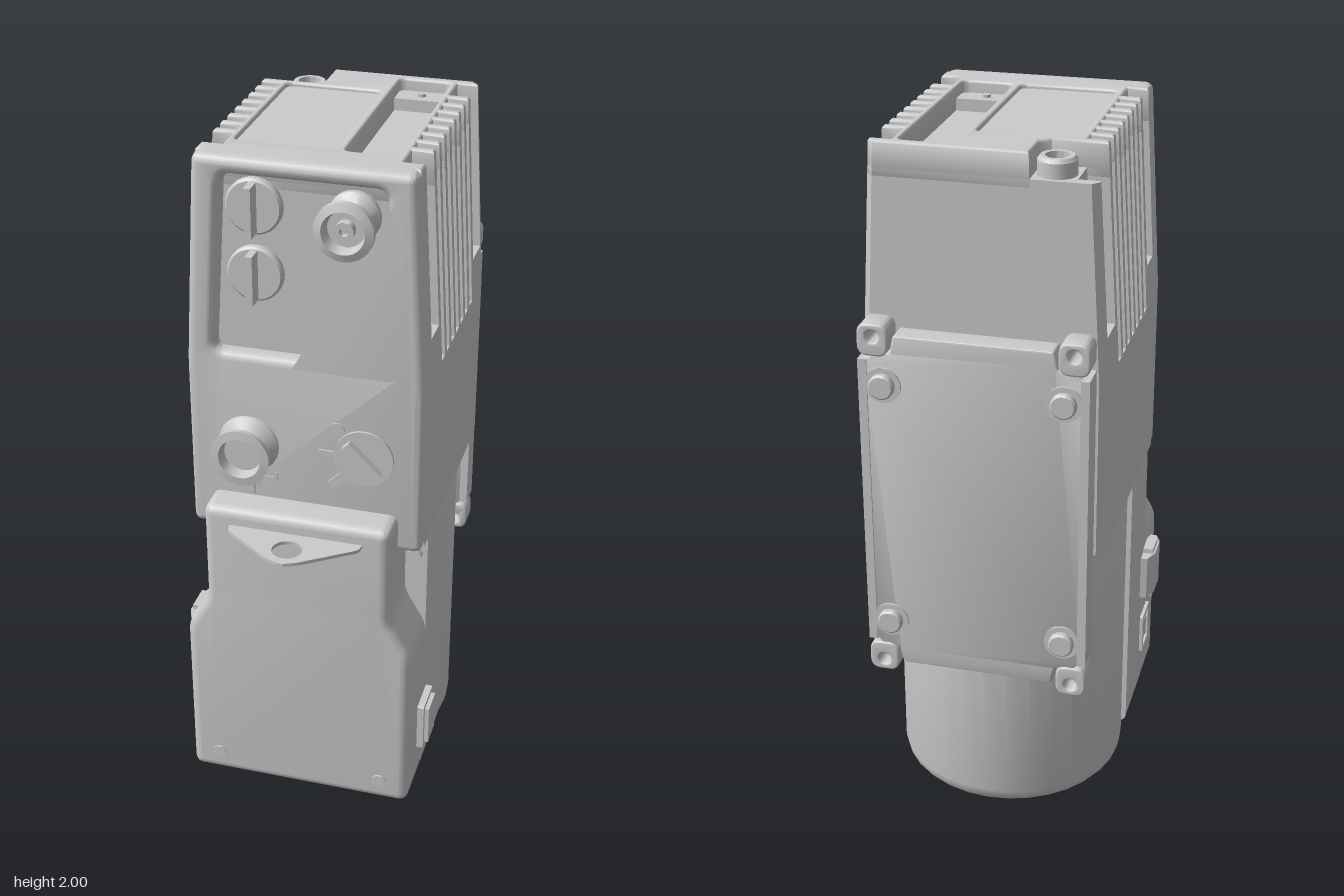
import * as THREE from 'three';
import { toCreasedNormals } from 'three/addons/utils/BufferGeometryUtils.js';

const mat = new THREE.MeshStandardMaterial({ color: 0xcccccc });
const HW = 0.335;

export function createModel() {
  const model = new THREE.Group();

  const add = (name, geo, x = 0, y = 0, z = 0) => {
    const m = new THREE.Mesh(geo, mat);
    m.name = name;
    m.position.set(x, y, z);
    model.add(m);
    return m;
  };
  const box = (name, x0, x1, y0, y1, z0, z1) =>
    add(name, new THREE.BoxGeometry(x1 - x0, y1 - y0, z1 - z0), (x0 + x1) / 2, (y0 + y1) / 2, (z0 + z1) / 2);
  // Lathe of [radius, height] points; axis is turned to +z, -z or left on y
  const lathe = (name, pts, x, y, z, axis = 'z') => {
    const g = new THREE.LatheGeometry(pts.map(p => new THREE.Vector2(...p)), 32);
    if (axis !== 'y') g.rotateX(axis === 'z' ? Math.PI / 2 : -Math.PI / 2);
    return add(name, toCreasedNormals(g, 0.6), x, y, z);
  };
  // Polygon with rounded corners
  const poly = (pts, r = 0, path = new THREE.Shape()) => {
    const v = pts.map(p => new THREE.Vector2(...p)), n = v.length;
    v.forEach((p, i) => {
      const toward = q => p.clone().add(q.clone().sub(p).setLength(r));
      const a = r ? toward(v[(i + n - 1) % n]) : p, b = r ? toward(v[(i + 1) % n]) : p;
      if (i) path.lineTo(a.x, a.y); else path.moveTo(a.x, a.y);
      if (r) path.quadraticCurveTo(p.x, p.y, b.x, b.y);
    });
    path.closePath();
    return path;
  };
  const rect = (x0, x1, y0, y1) => [[x0, y0], [x1, y0], [x1, y1], [x0, y1]];
  const extrude = (shape, d0, d1, bevel = 0) => {
    const g = new THREE.ExtrudeGeometry(shape, {
      depth: d1 - d0 - 2 * bevel, bevelEnabled: bevel > 0, bevelSize: bevel,
      bevelThickness: bevel, bevelOffset: -bevel, bevelSegments: 4, curveSegments: 8,
    });
    return g.translate(0, 0, d0 + bevel);
  };
  const smooth = g => toCreasedNormals(g, 0.6);

  // ---- Upper housing: horizontal slabs, finned at the sides, tapered above 1.4
  const slots = Array.from({ length: 7 }, (_, k) => [-0.283 + 0.06 * k, -0.247 + 0.06 * k]);
  const pockets = [[-0.41, -0.308], ...slots, [0.138, 0.225]];
  const outline = (cuts, notch) => {
    const side = [];
    cuts.forEach(([a, b]) => side.push([HW, a], [0.27, a], [0.27, b], [HW, b]));
    const left = side.map(([x, z]) => [-x, z]).reverse();
    if (notch) left.splice(-4, 4, [-HW, -0.308], [-0.17, -0.308], [-0.14, -0.33]);
    const back = notch ? [[-0.14, -0.44]] : [[-HW, -0.42], [-HW + 0.02, -0.44]];
    return poly([[HW - 0.02, -0.44], [HW, -0.42], ...side, [HW, 0.275], [-HW, 0.275], ...left, ...back]);
  };
  const slab = (name, shape, y0, y1, bevel) => {
    const g = extrude(shape, 0, y1 - y0, bevel).rotateX(Math.PI / 2).translate(0, y1, 0);
    const p = g.attributes.position;
    for (let i = 0; i < p.count; i++) {
      const t = Math.max(0, (p.getY(i) - 1.39) / 0.61);
      p.setX(i, p.getX(i) * (1 - 0.105 * t));
    }
    g.computeVertexNormals();
    add(name, smooth(g));
  };
  slab('housingBase', outline([]), 0.88, 1.39);
  slab('housingFins', outline(slots), 1.39, 1.51);
  slab('housingPockets', outline(pockets), 1.51, 1.93);
  const cap = outline(pockets, true);
  cap.holes.push(poly(rect(-0.25, 0.06, -0.29, 0.19), 0.025, new THREE.Path()));
  cap.holes.push(poly(rect(0.085, 0.25, -0.41, 0.19), 0.02, new THREE.Path()));
  slab('housingTop', cap, 1.9, 2, 0.008);
  box('topWindow', -0.23, 0.06, 1.92, 1.988, -0.295, 0.195);
  for (const [a, b] of [[-0.412, -0.335], [0.12, 0.192]]) {
    box('channelLedge', 0.075, 0.228, 1.92, 1.965, a, b);
    lathe('channelScrew', [[0.012, 0], [0.012, 0.008], [0, 0.008]], 0.147, 1.965, (a + b) / 2, 'y');
  }
  for (const s of [-1, 1]) for (const z of [-0.358, 0.172])
    lathe('pocketScrew', [[0.015, 0], [0.015, 0.01], [0, 0.01]], s * 0.3, 1.51, z, 'y');
  lathe('topConnector', [[0.052, 0], [0.052, 0.04], [0.045, 0.05], [0.032, 0.05], [0.032, 0.02], [0, 0.02]],
    -0.185, 1.93, -0.378, 'y');

  // ---- Front panel with a sunken control window
  const front = poly([[-HW, 0.88], [HW, 0.88], [HW, 1.4], [0.3, 2], [-0.3, 2], [-HW, 1.4]], 0.025);
  front.holes.push(poly([[-0.255, 1.44], [0.255, 1.44], [0.222, 1.95], [-0.222, 1.95]], 0.03, new THREE.Path()));
  add('frontPanel', smooth(extrude(front, 0.228, 0.32, 0.025)));

  // ---- Controls on the front
  for (const y of [1.86, 1.67]) {
    lathe('turnKnob', [[0.078, 0], [0.078, 0.02], [0.072, 0.026], [0, 0.026]], -0.14, y, 0.27);
    box('turnKnobGrip', -0.15, -0.13, y - 0.07, y + 0.07, 0.28, 0.345);
  }
  lathe('upperConnector', [[0.07, 0], [0.07, 0.02], [0.05, 0.04], [0.05, 0.095], [0.08, 0.105], [0.08, 0.122],
    [0.058, 0.13], [0.05, 0.095], [0.026, 0.095], [0.026, 0.12], [0.012, 0.12], [0.012, 0.1], [0, 0.1]], 0.13, 1.86, 0.27);
  lathe('lowerConnector', [[0.088, 0], [0.085, 0.012], [0.055, 0.035], [0.055, 0.06], [0.083, 0.075], [0.085, 0.092],
    [0.06, 0.095], [0.054, 0.06], [0, 0.06]], -0.16, 1.165, 0.315);
  lathe('selectorDial', [[0.085, 0], [0.085, 0.01], [0, 0.01]], 0.17, 1.17, 0.318);
  const grip = new THREE.BoxGeometry(0.03, 0.13, 0.03).rotateZ(Math.PI / 4);
  add('selectorGrip', grip, 0.17, 1.17, 0.335);
  box('dialMark', 0.04, 0.085, 1.165, 1.18, 0.31, 0.325);
  lathe('dialMark', [[0.02, 0], [0.02, 0.007], [0, 0.007]], 0.095, 1.25, 0.318);
  add('dialMark', new THREE.BoxGeometry(0.05, 0.025, 0.015).rotateZ(Math.PI / 4), 0.095, 1.09, 0.32);
  const arrow = extrude(poly([[-0.015, -0.035], [0.015, -0.035], [0.015, 0], [0.033, 0], [0, 0.035], [-0.033, 0], [-0.015, 0]]), 0, 0.012);
  add('arrowMark', arrow, -0.16, 1.04, 0.316);
  add('arrowMark', arrow, 0.13, 1.745, 0.271).rotation.z = Math.PI;
  for (const [x, y, z] of [[-0.16, 1.065, 0.315], [0.13, 1.765, 0.27]]) for (const s of [-1, 1]) {
    add('bracketMark', new THREE.BoxGeometry(0.04, 0.01, 0.018), x + s * 0.06, y, z);
    add('bracketMark', new THREE.BoxGeometry(0.01, 0.025, 0.018), x + s * 0.078, y + 0.008, z);
  }

  // ---- Lower front compartment, narrowed at the shoulders
  const cover = poly([[-HW, 0.05], [HW, 0.05], [HW, 0.58], [0.27, 0.69], [0.27, 1], [-0.27, 1], [-0.27, 0.69], [-HW, 0.58]], 0.03);
  add('frontCompartment', smooth(extrude(cover, 0.14, 0.415, 0.028)));
  add('rearCompartment', smooth(extrude(poly(rect(-HW, HW, 0.05, 0.885), 0.025), -0.02, 0.22)));
  for (const s of [-1, 1]) {
    lathe('coverScrew', [[0.022, 0], [0.022, 0.006], [0, 0.006]], s * 0.25, 0.12, 0.414);
    lathe('shoulderPin', [[0.02, 0], [0.02, 0.03], [0, 0.03]], s * 0.3, 0.82, 0.21);
  }

  // ---- Pull tab
  const tab = poly([[-0.195, 0.38], [0.195, 0.38], [0.19, 0.44], [0.045, 0.545], [0, 0.565], [-0.045, 0.545], [-0.19, 0.44]], 0.015);
  tab.holes.push(new THREE.Path().absarc(0, 0.492, 0.043, 0, Math.PI * 2, true));
  add('pullTab', smooth(extrude(tab, 0, 0.01).rotateX(Math.PI / 2)), 0, 0.95, 0);

  // ---- Side fittings
  const frame = (name, s, y0, y1, z0, z1, depth) => {
    const sh = poly(rect(z0, z1, y0, y1), 0.006);
    sh.holes.push(poly(rect(z0 + 0.014, z1 - 0.014, y0 + 0.014, y1 - 0.014), 0, new THREE.Path()));
    add(name, extrude(sh, 0, depth).rotateY(-Math.PI / 2).translate(s > 0 ? HW + depth : -HW, 0, 0));
  };
  frame('sideSwitchFrame', 1, 0.17, 0.325, 0.18, 0.295, 0.02);
  box('sideSwitch', 0.33, 0.367, 0.186, 0.309, 0.196, 0.279);
  frame('socketFrame', -1, 0.18, 0.31, 0.18, 0.285, 0.01);
  box('socket', -0.342, -0.33, 0.21, 0.28, 0.21, 0.255);
  const lug = poly([[-0.33, 0.16], [-0.33, 0.32], [-0.355, 0.32], [-0.372, 0.285], [-0.372, 0.205], [-0.355, 0.165]]);
  add('sideConnector', extrude(lug, 0, 0.14).rotateX(Math.PI / 2), 0, 0.535, 0);
  box('sideConnectorCore', -0.366, -0.33, 0.38, 0.55, 0.2, 0.28);

  // ---- Tank at the rear
  lathe('tank', [[0, 0], [0.29, 0], [0.315, 0.008], [0.329, 0.025], [HW, 0.05], [HW, 0.87], [0.325, 0.885], [0, 0.885]],
    0, 0, -0.128, 'y');

  // ---- Mounting plate on the back, notched around its four lugs
  const quarter = [[0.312, 1.44], [0.29, 1.44], [0.27, 1.46], [0.225, 1.46], [0.215, 1.51]];
  const flip = (sx, sy) => quarter.map(([x, y]) => [sx * x, sy > 0 ? y : 2.02 - y]);
  const plate = poly([...flip(1, 1), ...flip(-1, 1).reverse(), ...flip(-1, -1), ...flip(1, -1).reverse()], 0.006);
  add('mountingPlate', smooth(extrude(plate, -0.535, -0.465, 0.006)));
  for (const sx of [-1, 1]) {
    box('plateRim', sx * 0.3 - 0.012, sx * 0.3 + 0.012, 0.58, 1.44, -0.54, -0.46);
    for (const sy of [-1, 1]) {
      const y0 = 1.01 + sy * 0.485;
      const ear = poly(rect(-0.042, 0.042, -0.045, 0.045), 0.03);
      ear.holes.push(new THREE.Path().absarc(0, sy * 0.01, 0.018, 0, Math.PI * 2, true));
      add('plateLug', smooth(extrude(ear, -0.54, -0.46, 0.006)), sx * 0.27, y0, 0);
      lathe('plateBolt', [[0.05, 0], [0.05, 0.008], [0.035, 0.008], [0.035, 0.022], [0.03, 0.027], [0, 0.027]],
        sx * 0.245, 1.01 + sy * 0.36, -0.533, '-z');
    }
    lathe('standoff', [[0.034, 0], [0.034, 0.04], [0, 0.04]], sx * 0.205, 1.235, -0.43, '-z');
    lathe('standoff', [[0.034, 0], [0.034, 0.04], [0, 0.04]], sx * 0.205, 1.09, -0.43, '-z');
  }
  return model;
}
